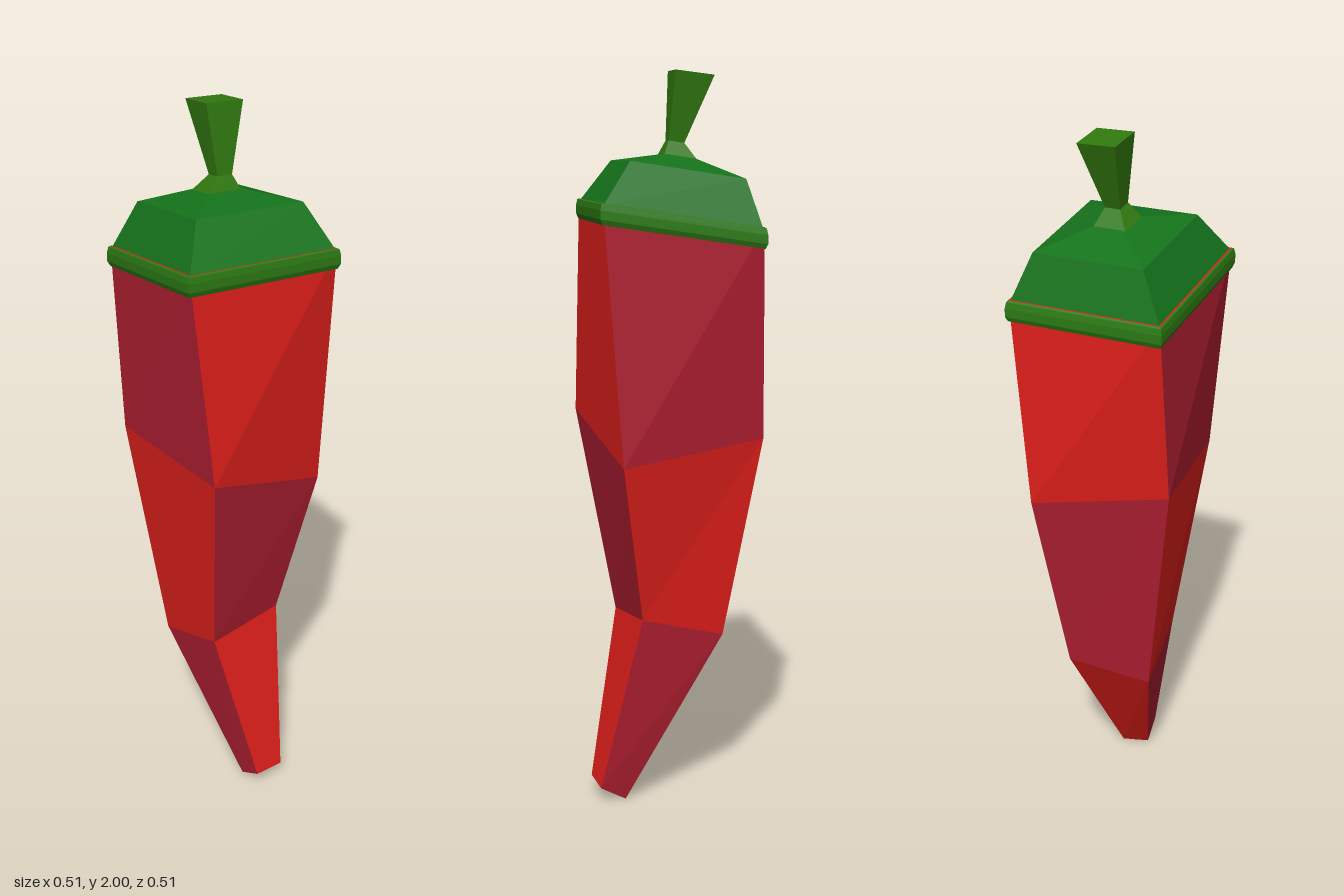
import * as THREE from 'three';

// Four corners of a tilted, turned square: front-right, front-left, back-left, back-right
function square(scale, y, cx = 0, cz = 0, tiltX = -0.054, tiltZ = 0.138) {
  const u = 0.165 * scale, v = 0.25 * scale;
  return [[-v, u], [u, v], [v, -u], [-u, -v]].map(([x, z]) =>
    [cx + x, y + tiltX * x + tiltZ * z, cz + z]);
}

// Skins four-sided rings listed from bottom to top; keep(level, side) selects the faces
function loft(name, color, rings, { top = false, bottom = false, keep = () => true } = {}) {
  const pos = [];
  const quad = (a, b, c, d) => pos.push(...a, ...b, ...c, ...a, ...c, ...d);
  for (let k = 0; k < rings.length - 1; k++) {
    for (let j = 0; j < 4; j++) {
      const n = (j + 1) % 4;
      if (keep(k, j)) quad(rings[k][j], rings[k][n], rings[k + 1][n], rings[k + 1][j]);
    }
  }
  if (top) quad(...rings[rings.length - 1]);
  if (bottom) quad(...[...rings[0]].reverse());
  const geo = new THREE.BufferGeometry();
  geo.setAttribute('position', new THREE.Float32BufferAttribute(pos, 3));
  geo.computeVertexNormals();
  const mesh = new THREE.Mesh(geo, new THREE.MeshStandardMaterial({ color, flatShading: true }));
  mesh.name = name;
  return mesh;
}

export function createModel() {
  const group = new THREE.Group();
  group.name = 'chiliPepper';

  // Curved, tapering body with a two-tone checker of facets
  const body = [
    [[-0.05, 0.05, 0.215], [0.04, 0.045, 0.22], [0.035, 0, 0.145], [-0.045, 0.01, 0.145]],
    [[-0.125, 0.51, 0.11], [0.105, 0.535, 0.12], [0.125, 0.475, -0.11], [-0.11, 0.44, -0.112]],
    [[-0.2, 1.08, 0.198], [0.175, 0.97, 0.2], [0.197, 1.03, -0.193], [-0.18, 1.1, -0.193]],
    square(0.995, 1.627),
  ];
  group.add(loft('brightFlesh', 0xdf1f1b, body, { top: true, bottom: true, keep: (k, j) => (k + j) % 2 === 0 }));
  group.add(loft('darkFlesh', 0xb01f31, body, { keep: (k, j) => (k + j) % 2 === 1 }));

  // Rolled rim round the shoulder
  group.add(loft('capRim', 0x2c7a14, [
    square(0.97, 1.575), square(1.005, 1.572), square(1.03, 1.585),
    square(1.03, 1.608), square(1.015, 1.624), square(0.995, 1.627),
  ]));

  // Green cap with a shallow pyramid on top
  group.add(loft('cap', 0x15731b, [
    square(0.977, 1.625), square(0.72, 1.74, 0.01, -0.02), square(0.17, 1.775, 0.01, -0.025),
  ], { top: true }));

  // Pinched stem, flaring and leaning back
  group.add(loft('stem', 0x327a10, [
    square(0.22, 1.768, 0.005, -0.025), square(0.1, 1.812, 0.01, -0.015),
    square(0.245, 1.99, 0.025, -0.055, -0.06, 0.1),
  ], { top: true }));

  return group;
}
